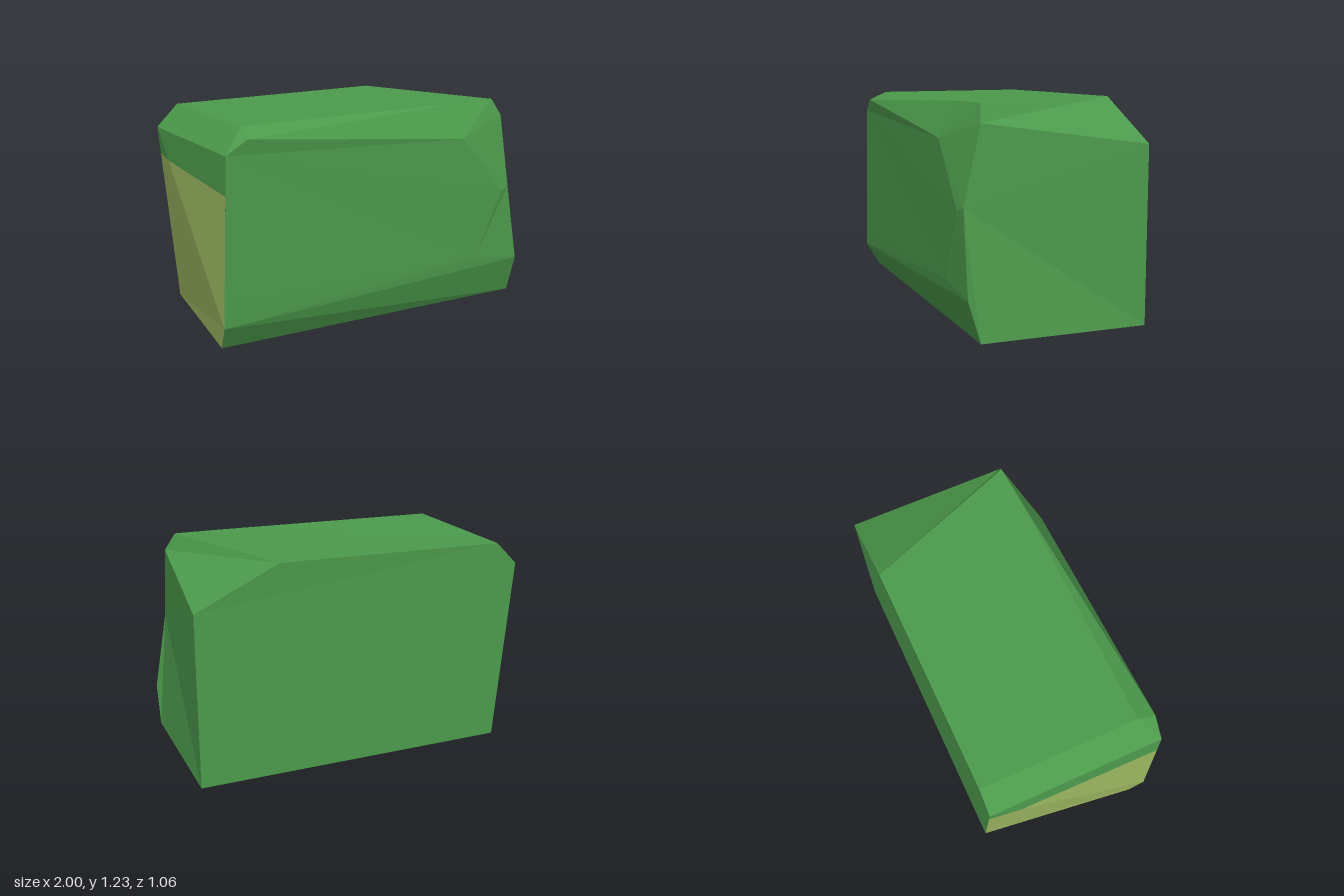
import * as THREE from 'three';

// Corner points of the faceted block
const P = {
  // top
  t1: [-0.83, 1.21, -0.51], t2: [0.52, 1.23, -0.53], t3: [0.86, 1.23, 0.38],
  t4: [0.58, 1.225, 0.40], t5: [-0.83, 1.21, 0.42],
  // left side of the block (+x)
  s1: [0.92, 1.13, 0.40], s2: [0.92, 0.70, 0.495], s3: [1, 0.23, 0.50],
  s4: [1, 0, 0.43], s5: [1, 0, -0.53], s6: [1, 1, -0.53],
  // front
  f1: [-0.84, 1.16, 0.53], f2: [0.56, 1.03, 0.51], f3: [0.86, 0.68, 0.51],
  f4: [0.67, 0.28, 0.51], f5: [-0.94, 0.29, 0.53],
  // right side of the block (-x)
  a: [-0.96, 1.08, -0.51], b: [-0.86, 0, -0.51], c: [-0.96, 1.08, 0.52],
  d: [-1, 0.15, 0.53], e: [-0.985, 0.01, 0.45],
  // colour boundary on the -x side
  p: [-0.945, 0.92, -0.51], m: [-0.967, 0.91, -0.32], q: [-0.969, 0.87, 0.522],
};

// Builds flat facets from corner loops
function facets(name, loops, material) {
  const pos = [];
  for (const loop of loops) {
    const k = loop.split(' ');
    for (let i = 1; i < k.length - 1; i++) pos.push(...P[k[0]], ...P[k[i]], ...P[k[i + 1]]);
  }
  const g = new THREE.BufferGeometry();
  g.setAttribute('position', new THREE.Float32BufferAttribute(pos, 3));
  g.computeVertexNormals();
  const mesh = new THREE.Mesh(g, material);
  mesh.name = name;
  return mesh;
}

export function createModel() {
  const green = new THREE.MeshStandardMaterial({ color: 0x4c9a4c });
  green.name = 'green';
  const olive = new THREE.MeshStandardMaterial({ color: 0x9ab560 });
  olive.name = 'olive';

  const group = new THREE.Group();
  group.name = 'facetedBlock';
  group.add(
    facets('top', ['t1 t5 t4 t3 t2', 't2 t3 s1 s6', 'a c t5 t1', 'c f1 t5'], green),
    facets('front', ['c f5 f4 f3 f2 f1', 'f4 s3 s2 f3', 'c d f5'], green),
    facets('frontBevels', ['d e s4 s3 f4 f5', 'f1 f2 t4 t5', 'f2 f3 s2 s1 t3 t4'], green),
    facets('leftSide', ['s2 s3 s4 s5 s6 s1'], green),
    facets('back', ['s6 s5 b p a t1 t2'], green),
    facets('bottom', ['e b s5 s4'], green),
    facets('rightSideUpper', ['a p m', 'a m q c'], green),
    facets('rightSideLower', ['p b d m', 'm d q', 'b e d'], olive),
  );
  return group;
}
